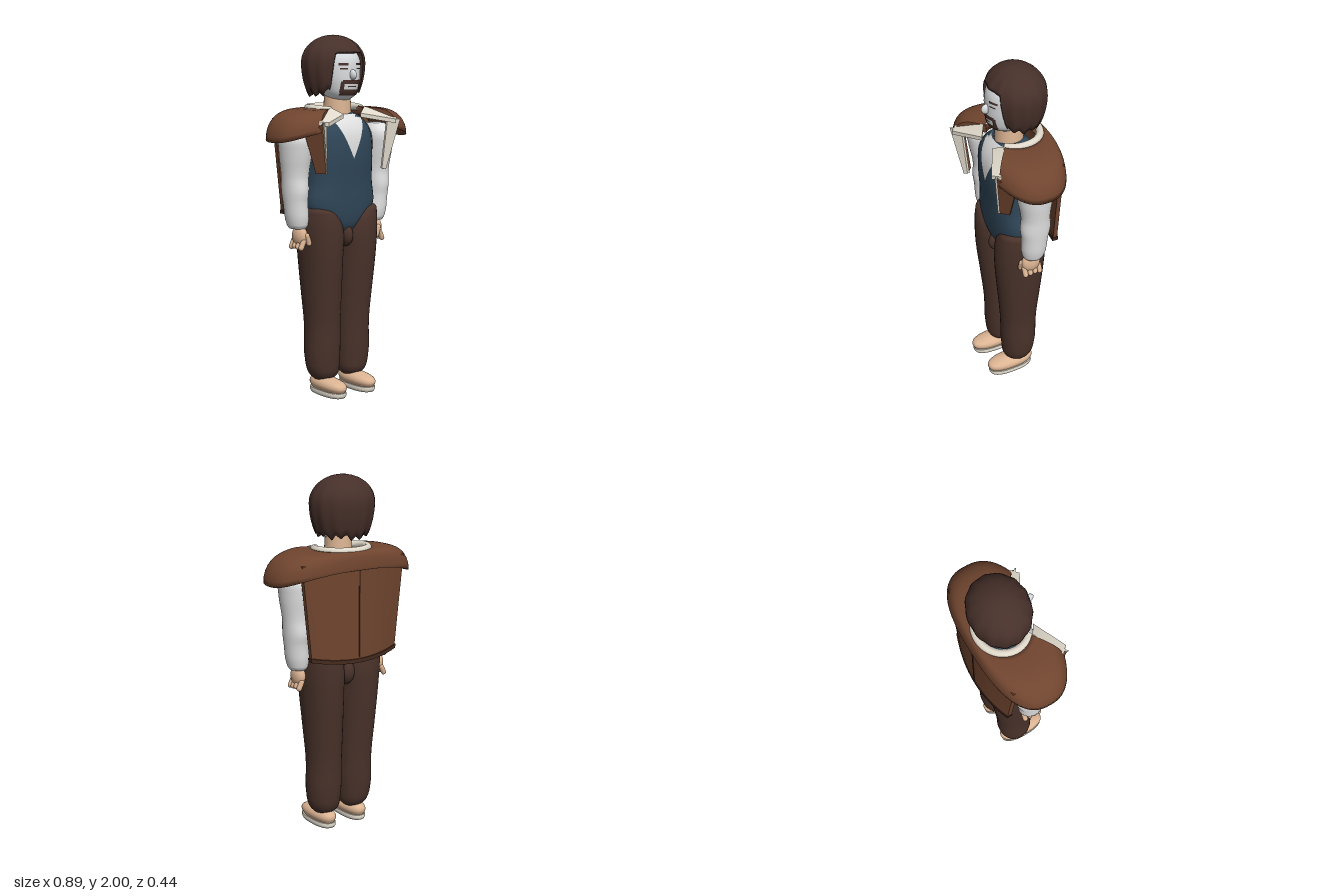
import * as THREE from 'three';
import { toCreasedNormals } from 'three/addons/utils/BufferGeometryUtils.js';

const V = (x, y, z) => new THREE.Vector3(x, y, z);
const mat = (name, color, side = THREE.FrontSide) =>
  Object.assign(new THREE.MeshStandardMaterial({ color, side }), { name });

// Skin over a list of point rings; closed rings get end caps and outward winding
function loft(rings, closed = true, creased = false) {
  const n = rings[0].length, pos = [], idx = [];
  rings.forEach(r => r.forEach(p => pos.push(p.x, p.y, p.z)));
  for (let i = 0; i < rings.length - 1; i++) {
    for (let j = 0; j < (closed ? n : n - 1); j++) {
      const a = i * n + j, b = i * n + (j + 1) % n;
      idx.push(a, b, b + n, a, b + n, a + n);
    }
  }
  if (closed) {
    [rings[0], rings[rings.length - 1]].forEach((r, k) => {
      const base = pos.length / 3;
      const c = r.reduce((s, p) => s.add(p), V(0, 0, 0)).divideScalar(n);
      [...r, c].forEach(p => pos.push(p.x, p.y, p.z));
      for (let j = 0; j < n; j++) {
        const a = base + j, b = base + (j + 1) % n;
        k ? idx.push(a, b, base + n) : idx.push(b, a, base + n);
      }
    });
    const p = i => V(pos[3 * i], pos[3 * i + 1], pos[3 * i + 2]);
    let vol = 0;
    for (let i = 0; i < idx.length; i += 3) vol += p(idx[i]).dot(p(idx[i + 1]).cross(p(idx[i + 2])));
    if (vol < 0) idx.reverse();
  }
  const g = new THREE.BufferGeometry();
  g.setAttribute('position', new THREE.Float32BufferAttribute(pos, 3));
  g.setIndex(idx);
  if (creased) return toCreasedNormals(g, 0.6);
  g.computeVertexNormals();
  return g;
}

// Smoothly interpolated body profile; rows are [y, rx, rz, cx, cz]
function body(rows, n = 2) {
  const ip = new THREE.CubicInterpolant(rows.map(r => r[0]), rows.flatMap(r => r.slice(1)), 4);
  const pw = v => Math.sign(v) * Math.abs(v) ** (2 / n);
  const at = (y, a, off = 0) => {
    const [rx, rz, cx, cz] = ip.evaluate(y);
    return V(cx + (rx + off) * pw(Math.sin(a)), y, cz + (rz + off) * pw(Math.cos(a)));
  };
  const angle = (y, x) => {
    const q = Math.min(1, Math.abs(x) / ip.evaluate(y)[0]);
    return Math.sign(x) * Math.asin(q ** (n / 2));
  };
  const geometry = () => {
    const rings = [];
    for (let i = 0; i < rows.length - 1; i++) {
      for (let k = 0; k < 4; k++) rings.push(rows[i][0] + (rows[i + 1][0] - rows[i][0]) * k / 4);
    }
    rings.push(rows[rows.length - 1][0]);
    return loft(rings.map(y => Array.from({ length: 36 }, (_, j) => at(y, j / 36 * Math.PI * 2))));
  };
  // Thin painted area between two angles, lying on the surface
  const patch = (y0, y1, a0, a1, off = 0.004) => loft(Array.from({ length: 11 }, (_, i) => {
    const y = y0 + (y1 - y0) * i / 10, s = a0(y), e = a1(y);
    return Array.from({ length: 13 }, (_, j) => at(y, s + (e - s) * j / 12, off));
  }), false);
  return { geometry, patch, angle };
}

const slab = (quad, d) => loft([quad, quad.map(p => p.clone().add(d))], true, true);

export function createModel() {
  const root = new THREE.Group();
  const D = THREE.DoubleSide;
  const hair = mat('hair brown', 0x47302a, D), trouser = mat('trouser brown', 0x49322a);
  const jacket = mat('jacket brown', 0x70452f), trim = mat('seam brown', 0x452a1e);
  const blue = mat('vest blue', 0x304759), white = mat('shirt white', 0xe2e2e2, D);
  const pale = mat('face pale', 0xd9dcde, D), skin = mat('skin tan', 0xdcb493);
  const cream = mat('lining cream', 0xe0d9cb);
  const add = (name, g, m, p = [0, 0, 0]) => {
    const mesh = new THREE.Mesh(g, m);
    mesh.name = name;
    mesh.position.set(...p);
    root.add(mesh);
    return mesh;
  };
  const ball = (name, m, p, r) => add(name, new THREE.SphereGeometry(1, 24, 16).scale(...r), m, p);

  // Torso in a vest, with shirt showing at the neck and armholes
  const torso = body([[0.92, 0.05, 0.09, 0, 0], [0.97, 0.14, 0.11, 0, 0], [1.05, 0.22, 0.125, 0, -0.005],
    [1.2, 0.21, 0.132, 0, -0.005], [1.37, 0.205, 0.138, 0, 0], [1.48, 0.19, 0.125, 0, 0],
    [1.55, 0.14, 0.1, 0, -0.01], [1.58, 0.08, 0.075, 0, -0.01]], 2.5);
  add('vest', torso.geometry(), blue);
  const vee = y => torso.angle(y, (y - 1.33) * 0.47);
  add('shirtFront', torso.patch(1.331, 1.57, y => -vee(y), vee), white);

  for (const s of [1, -1]) {
    const side = s > 0 ? 'left' : 'right';
    add(side + 'Armhole', torso.patch(1.37, 1.53, y => torso.angle(y, s * 0.165),
      y => s * Math.PI - torso.angle(y, s * 0.165)), white);

    // Trouser leg
    add(side + 'TrouserLeg', body([[0.08, 0.05, 0.05, s * 0.1, -0.005], [0.105, 0.078, 0.078, s * 0.1, -0.005],
      [0.17, 0.097, 0.095, s * 0.105, -0.008], [0.4, 0.1, 0.107, s * 0.105, -0.01],
      [0.6, 0.109, 0.126, s * 0.112, -0.01], [0.8, 0.117, 0.145, s * 0.119, -0.009],
      [0.95, 0.121, 0.147, s * 0.125, -0.01], [1.02, 0.1, 0.135, s * 0.143, -0.01],
      [1.05, 0.073, 0.115, s * 0.163, -0.008], [1.062, 0.04, 0.08, s * 0.18, -0.005]]).geometry(), trouser);

    // Shoe
    add(side + 'Sole', body([[0, 0.055, 0.128, s * 0.105, 0.042], [0.012, 0.06, 0.135, s * 0.105, 0.042],
      [0.03, 0.058, 0.135, s * 0.105, 0.043]], 2.5).geometry(), cream);
    add(side + 'Shoe', body([[0.03, 0.052, 0.13, s * 0.105, 0.043], [0.055, 0.062, 0.142, s * 0.105, 0.043],
      [0.08, 0.053, 0.126, s * 0.105, 0.035], [0.097, 0.03, 0.07, s * 0.105, 0.01]], 2.3).geometry(), skin);

    // Sleeve
    add(side + 'Sleeve', body([[0.955, 0.045, 0.05, s * 0.275, -0.01], [0.975, 0.056, 0.062, s * 0.276, -0.01],
      [1.1, 0.064, 0.075, s * 0.287, -0.012], [1.16, 0.068, 0.085, s * 0.288, -0.014],
      [1.24, 0.072, 0.08, s * 0.288, -0.014], [1.38, 0.086, 0.1, s * 0.288, -0.008],
      [1.46, 0.085, 0.1, s * 0.285, -0.005], [1.51, 0.05, 0.06, s * 0.27, -0.005]]).geometry(), white);

    // Fist
    ball(side + 'Palm', skin, [s * 0.268, 0.912, 0], [0.034, 0.06, 0.055]);
    for (let i = 0; i < 4; i++) {
      const f = add(side + 'Finger', new THREE.CapsuleGeometry(0.015, 0.038, 4, 10), skin,
        [s * 0.282, 0.868 + (i % 3) * 0.003, 0.042 - i * 0.029]);
      f.rotation.z = s * 0.45;
    }
    const thumb = add(side + 'Thumb', new THREE.CapsuleGeometry(0.015, 0.045, 4, 10), skin, [s * 0.25, 0.895, 0.05]);
    thumb.rotation.z = -s * 0.3;

    // Jacket front flap and turned-out lining
    add(side + 'JacketFront', slab([V(s * 0.265, 1.535, 0.208), V(s * 0.205, 1.26, 0.16),
      V(s * 0.248, 1.26, 0.12), V(s * 0.32, 1.47, 0.12)], V(-s * 0.008, 0, -0.012)), jacket);
    add(side + 'Facing', slab([V(s * 0.27, 1.54, 0.216), V(s * 0.208, 1.26, 0.168),
      V(s * 0.193, 1.265, 0.152), V(s * 0.215, 1.54, 0.172)], V(0, 0, -0.012)), cream);
    add(side + 'Lapel', slab([V(s * 0.06, 1.575, 0.125), V(s * 0.235, 1.54, 0.218),
      V(s * 0.275, 1.545, 0.18), V(s * 0.12, 1.61, 0.085)], V(0, -0.022, 0)), cream);
  }
  ball('crotch', trouser, [0, 0.9, 0.06], [0.036, 0.065, 0.062]);
  ball('seat', trouser, [0, 0.91, -0.07], [0.05, 0.075, 0.06]);

  // Wide shoulder yoke, open at the front
  const se = v => Math.sign(v) * Math.abs(v) ** 0.8;
  const yoke = [];
  for (let i = 0; i <= 64; i++) {
    const t = i / 64, o = 0.565 + t * (2 * Math.PI - 1.13), q = 0.8 + t * (2 * Math.PI - 1.6);
    const edge = 1.43 + 0.075 * Math.cos(o) ** 2;
    const at = (r, drop) => V(
      THREE.MathUtils.lerp(0.155 * Math.sin(q), 0.445 * se(Math.sin(o)), r),
      edge + (1.602 - edge) * Math.sqrt(Math.max(0, 1 - r ** 3.5)) - drop,
      THREE.MathUtils.lerp(-0.03 + 0.15 * Math.cos(q), 0.22 * se(Math.cos(o)), r));
    const ring = Array.from({ length: 13 }, (_, k) => at(Math.sin(k / 12 * Math.PI / 2), 0));
    [0.94, 0.75, 0.4, 0].forEach(r => ring.push(at(r, 0.045)));
    yoke.push(ring);
  }
  add('shoulderYoke', loft(yoke), jacket);

  // Hanging jacket back with hem and centre seam
  const backSheet = (y0, y1, grow) => loft(Array.from({ length: 9 }, (_, i) => {
    const y = y0 + (y1 - y0) * i / 8, w = 0.28 + (y - 1) * 0.11 + grow, front = [], back = [];
    for (let j = 0; j <= 16; j++) {
      const u = j / 8 - 1, lift = 0.03 * u * u;
      back.push(V(u * w, y + lift, -0.205 - grow + 0.05 * u * u));
      front.unshift(V(u * w, y + lift, -0.18 + grow + 0.05 * u * u));
    }
    return [...back, ...front];
  }), true, true);
  add('jacketBack', backSheet(1.0, 1.52, 0), jacket);
  add('backHem', backSheet(0.99, 1.012, 0.004), trim);
  add('backSeam', new THREE.BoxGeometry(0.008, 0.5, 0.008), trim, [0, 1.26, -0.204]);

  // Rolled collar
  const collar = Array.from({ length: 17 }, (_, i) => {
    const a = 0.75 + i / 16 * (2 * Math.PI - 1.5);
    return V(0.15 * Math.sin(a), 1.602 - 0.012 * Math.max(0, Math.cos(a)), -0.03 + 0.14 * Math.cos(a));
  });
  add('collar', new THREE.TubeGeometry(new THREE.CatmullRomCurve3(collar), 60, 0.021, 12), cream);

  // Neck and head
  add('neck', new THREE.CylinderGeometry(0.072, 0.082, 0.16, 28), skin, [0, 1.6, -0.005]);
  const head = body([[1.645, 0.05, 0.05, 0, 0.015], [1.67, 0.08, 0.085, 0, 0.018], [1.72, 0.105, 0.112, 0, 0.01],
    [1.8, 0.123, 0.125, 0, 0], [1.88, 0.123, 0.122, 0, -0.01], [1.95, 0.085, 0.085, 0, -0.03]]);
  add('head', head.geometry(), pale);
  ball('nose', pale, [0, 1.785, 0.128], [0.017, 0.028, 0.028]);
  const mark = (name, y0, y1, x0, x1) => add(name, head.patch(y0, y1,
    y => head.angle(y, x0), y => head.angle(y, x1)), hair);
  for (const s of [1, -1]) {
    mark('eyebrow', 1.836, 1.848, s * 0.025, s * 0.075);
    mark('eye', 1.814, 1.821, s * 0.03, s * 0.068);
    mark('beardSide', 1.69, 1.75, s * 0.046, s * 0.064);
  }
  mark('moustache', 1.735, 1.757, -0.055, 0.055);
  mark('mouth', 1.718, 1.724, -0.028, 0.028);
  mark('chinBeard', 1.672, 1.705, -0.06, 0.06);

  // Shaggy hair: a dome with a ragged lower edge, open over the face
  const NA = 120, dome = [];
  for (let i = 0; i <= 16; i++) {
    dome.push(Array.from({ length: NA + 1 }, (_, j) => {
      const a = (j / NA) * Math.PI * 2, f = Math.min(a, Math.PI * 2 - a);
      const drop = THREE.MathUtils.smoothstep(f, 0.5, 0.74);
      const tuft = Math.abs(((f * 5.1) % 2) - 1) * 0.03 + Math.abs(((f * 2.3) % 2) - 1) * 0.015;
      const low = 1.9 - drop * (0.225 + 0.025 * f / Math.PI - tuft);
      const v = Math.min(1, i / 15), y = 2 - (2 - low) * v ** 1.8;
      let R = y > 1.85 ? Math.sqrt(1 - ((y - 1.85) / 0.15) ** 2) : 1 - 0.22 * ((1.85 - y) / 0.18) ** 2;
      R *= 1 + 0.018 * v * Math.cos(13 * f);
      if (i === 16) R *= 0.84;
      return V(0.186 * R * Math.sin(a), i === 16 ? y + 0.012 : y, -0.042 + 0.162 * R * Math.cos(a));
    }));
  }
  add('hair', loft(dome, false), hair);
  return root;
}
